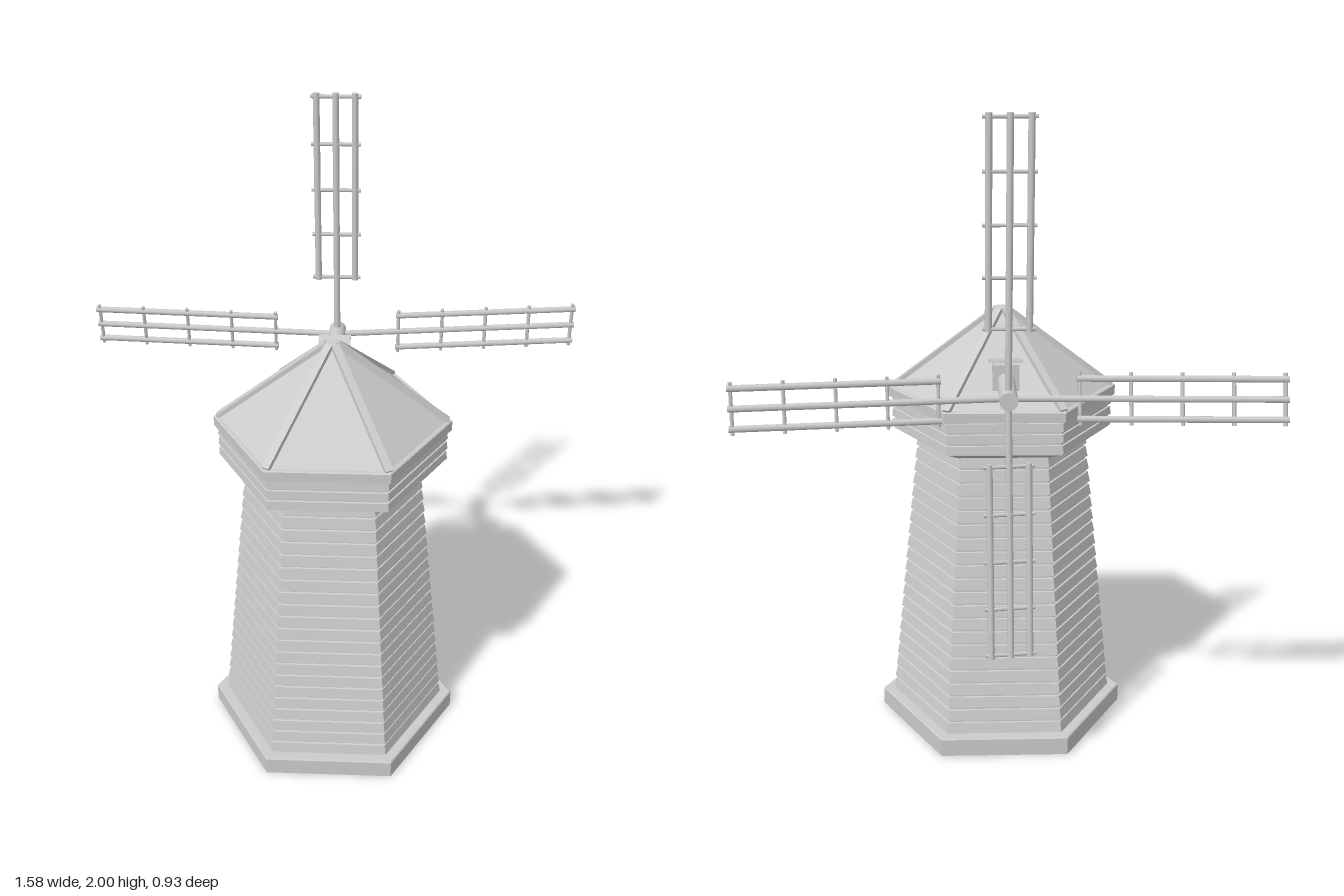
import * as THREE from 'three';

const V = (x, y, z) => new THREE.Vector3(x, y, z);
const grey = new THREE.MeshStandardMaterial({ color: 0xcccccc, flatShading: true });
const smooth = new THREE.MeshStandardMaterial({ color: 0xcccccc });

function add(parent, name, geometry, material = grey) {
  const mesh = new THREE.Mesh(geometry, material);
  mesh.name = name;
  parent.add(mesh);
  return mesh;
}

// Six-sided turned part with corners on the x axis; profile is [radius, y] from bottom to top
function hexPart(parent, name, profile) {
  const points = profile.map(([r, y]) => new THREE.Vector2(r, y));
  return add(parent, name, new THREE.LatheGeometry(points, 6, Math.PI / 2));
}

// Overlapping boards: every board is wider at its lower edge
function boards(y0, y1, r0, r1, count, lip) {
  const profile = [];
  for (let i = 0; i < count; i++) {
    const a = i / count, b = (i + 1) / count;
    const radius = t => THREE.MathUtils.lerp(r0, r1, t);
    const height = t => THREE.MathUtils.lerp(y0, y1, t);
    profile.push([radius(a) - lip * 0.5, height(a)], [radius(a) + lip * 0.5, height(a) + 0.002],
      [radius(b) + lip * 0.2, height(b) - 0.008], [radius(b) - lip * 0.5, height(b) - 0.007]);
  }
  return profile;
}

// Round bar between two points
function bar(parent, name, a, b, radius, sides = 8) {
  const direction = b.clone().sub(a);
  const mesh = add(parent, name, new THREE.CylinderGeometry(radius, radius, direction.length(), sides), smooth);
  mesh.position.copy(a).add(b).multiplyScalar(0.5);
  mesh.quaternion.setFromUnitVectors(V(0, 1, 0), direction.normalize());
  return mesh;
}

// Lattice sail: a spar from the hub, two side rails and five rungs
function sail(parent, name, hub, tip, side) {
  const group = new THREE.Group();
  group.name = name;
  parent.add(group);
  const at = (t, s) => hub.clone().lerp(tip, t).addScaledVector(side, s);
  bar(group, 'spar', hub, tip, 0.01);
  for (const s of [-0.058, 0.058]) bar(group, 'rail', at(0.245, s), at(1, s), 0.01);
  for (let i = 0; i < 5; i++) {
    const t = 0.255 + i * 0.183;
    bar(group, 'rung', at(t, -0.076), at(t, 0.076), 0.006, 6);
  }
}

export function createModel() {
  const model = new THREE.Group();
  model.name = 'windmill';

  const tower = new THREE.Group();
  tower.name = 'tower';
  tower.position.set(-0.035, 0, 0.0925);
  tower.rotation.y = THREE.MathUtils.degToRad(-5.4);
  model.add(tower);

  // Plinth and boarded body
  hexPart(tower, 'plinth', [[0, 0], [0.402, 0], [0.402, 0.056], [0.398, 0.06], [0, 0.06]]);
  hexPart(tower, 'body', boards(0.06, 0.975, 0.361, 0.266, 21, 0.01));

  // Overhanging cap with flared underside, boards and eave
  hexPart(tower, 'capUnderside', [[0.25, 0.962], [0.275, 0.965], [0.345, 0.992], [0.345, 1.0]]);
  hexPart(tower, 'capWall', boards(0.995, 1.1, 0.346, 0.346, 3, 0.01));
  hexPart(tower, 'eave', [[0.33, 1.095], [0.362, 1.098], [0.362, 1.128], [0.358, 1.131], [0.32, 1.131]]);

  // Roof panels, hip ribs and finial
  hexPart(tower, 'roof', [[0.348, 1.13], [0.018, 1.378], [0, 1.378]]);
  for (let i = 0; i < 6; i++) {
    const hip = new THREE.Group();
    hip.name = 'hip';
    hip.rotation.y = i * Math.PI / 3;
    tower.add(hip);
    const rib = add(hip, 'hipRib', new THREE.BoxGeometry(0.415, 0.014, 0.024));
    rib.position.set(0.184, 1.256, 0);
    rib.rotation.z = -Math.atan2(0.248, 0.33);
  }
  hexPart(tower, 'finial', [[0.024, 1.365], [0.024, 1.384], [0.019, 1.388], [0, 1.388]]);

  // Dormer carrying the sail shaft
  const dormer = add(tower, 'dormer', new THREE.BoxGeometry(0.08, 0.1, 0.11));
  dormer.position.set(-0.005, 1.208, -0.19);
  const dormerRoof = add(tower, 'dormerRoof', new THREE.BoxGeometry(0.1, 0.008, 0.122));
  dormerRoof.position.set(-0.005, 1.263, -0.209);
  dormerRoof.rotation.x = 0.2;
  bar(tower, 'shaft', V(-0.005, 1.207, -0.18), V(-0.005, 1.207, -0.465), 0.027, 16);

  // Four sails, each leaning a little differently
  const hub = V(0, 1.207, -0.332);
  sail(model, 'topSail', hub, V(-0.004, 2, -0.325), V(0.995, 0, 0.09).normalize());
  sail(model, 'bottomSail', hub, V(0.002, 0.432, -0.42), V(1, 0, -0.03).normalize());
  sail(model, 'leftSail', hub, V(0.787, 1.21, -0.355), V(0, 1, 0.05).normalize());
  sail(model, 'rightSail', hub, V(-0.79, 1.209, -0.447), V(0, 1, 0.2).normalize());

  return model;
}
